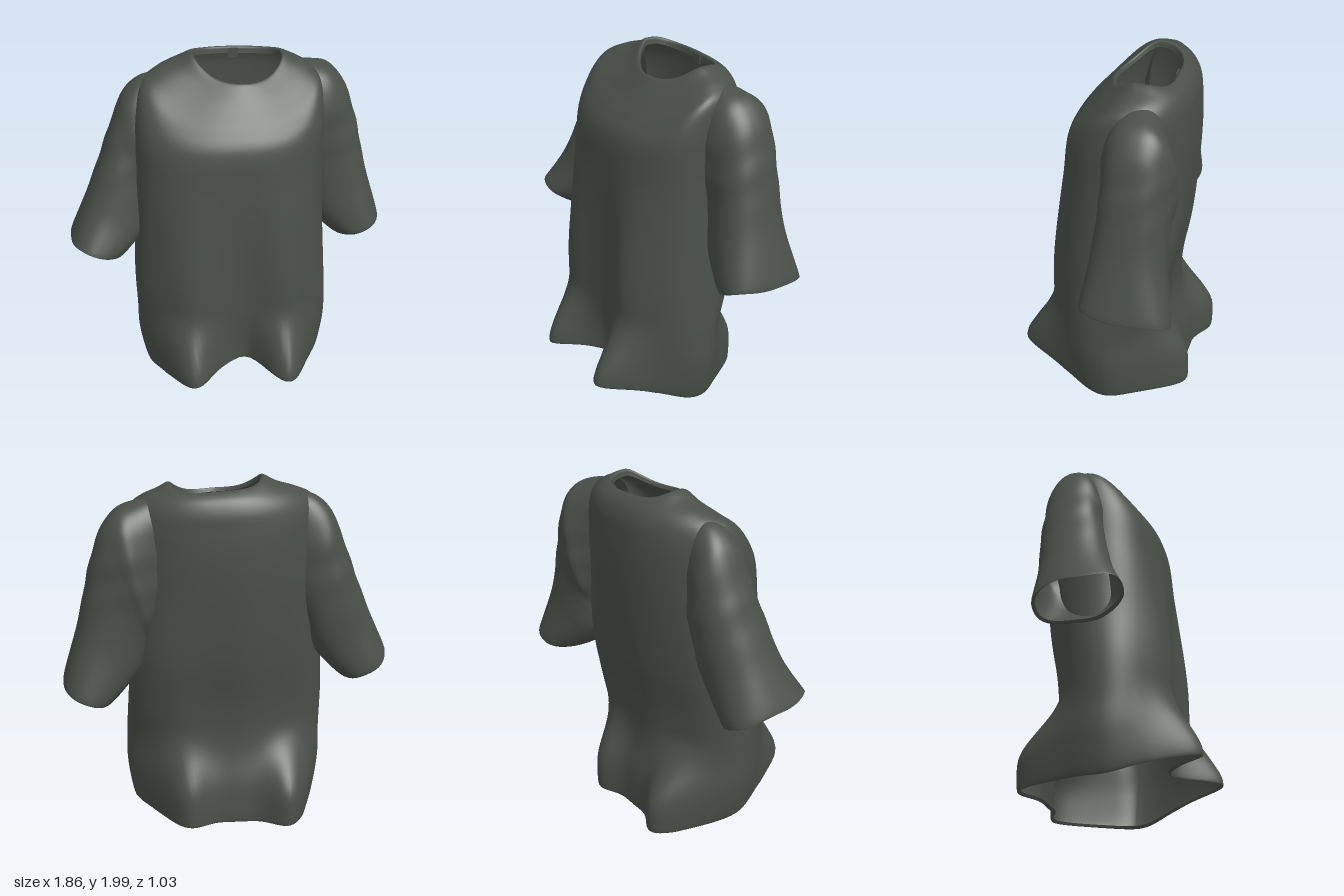
import * as THREE from 'three';

const SIDES = 128;

const fabric = new THREE.MeshStandardMaterial({ color: 0x4a5049, side: THREE.DoubleSide });
fabric.name = 'charcoal green fabric';

const { lerp, smoothstep } = THREE.MathUtils;
const bump = (v, centre, width) => Math.exp(-(((v - centre) / width) ** 2));
const power = (v, e) => Math.sign(v) * Math.abs(v) ** e;

// One rounded cross-section, given by its -x, +x, front and back points;
// the last three numbers square off the front, the back at -x and the back at +x
function ring([xl, yl, xr, yr, zf, yf, zb, yb, front = 0.85, backRight = 0.85, backLeft = 0.85]) {
  const points = [];
  for (let j = 0; j < SIDES; j++) {
    const t = (j / SIDES) * Math.PI * 2, c = Math.cos(t), s = Math.sin(t);
    const e = s > 0 ? front : c < 0 ? backRight : backLeft;
    const across = (1 + power(c, e)) / 2;
    const dip = (s > 0 ? yf : yb) - (yl + yr) / 2;
    points.push(new THREE.Vector3(
      lerp(xl, xr, across),
      lerp(yl, yr, across) + dip * (1 - c ** 4),
      lerp(zb, zf, (1 + power(s, e)) / 2)));
  }
  return points;
}

// Smooth skin running down through the rings, with a rule that drapes every point
function loft(name, rows, steps, drape) {
  const rings = rows.map(ring);
  const columns = rings[0].map((_, j) =>
    new THREE.CatmullRomCurve3(rings.map(r => r[j]), false, 'centripetal'));
  const positions = [], index = [];
  for (let i = 0; i <= steps; i++) {
    for (let j = 0; j < SIDES; j++) {
      const p = columns[j].getPoint(i / steps);
      drape(p, (j / SIDES) * Math.PI * 2);
      positions.push(p.x, p.y, p.z);
      if (i === steps) continue;
      const a = i * SIDES + j, b = i * SIDES + (j + 1) % SIDES;
      index.push(a, b, a + SIDES, b, b + SIDES, a + SIDES);
    }
  }
  const geometry = new THREE.BufferGeometry();
  geometry.setAttribute('position', new THREE.Float32BufferAttribute(positions, 3));
  geometry.setIndex(index);
  geometry.computeVertexNormals();
  const mesh = new THREE.Mesh(geometry, fabric);
  mesh.name = name;
  return mesh;
}

// Body hangs in soft folds that swell into lobes at the hem
function drapeBody(p, angle) {
  const s = Math.sin(angle), x = p.x;
  const flare = 1 - smoothstep(p.y, 0.16, 0.58);
  const hang = smoothstep(1.6 - p.y, 0, 0.9);
  const swell = 0.75 * flare + 0.25 * hang;
  const facing = Math.min(1, Math.abs(s) * 1.8);
  if (s > 0) {
    p.z += facing * swell * (0.24 * bump(x, -0.29, 0.15) + 0.26 * bump(x, 0.28, 0.15) - 0.06 * bump(x, 0.06, 0.1));
  } else {
    p.z -= facing * flare * (0.21 * bump(x, -0.35, 0.15) + 0.14 * bump(x, 0.25, 0.15) + 0.03 * bump(x, -0.05, 0.15));
    p.z += facing * hang * 0.006 * (Math.sin(x * 15) + 1);
  }
}

// Faint creases below the shoulder of a sleeve
function drapeSleeve(p, angle) {
  const crease = bump(p.y, 1.5, 0.2) * 0.003 * Math.sin(p.y * 30 + angle * 2);
  p.x += crease * Math.cos(angle);
  p.z += crease * Math.sin(angle);
}

export function createModel() {
  const shirt = new THREE.Group();
  shirt.name = 'shirt';

  // Body from the turned-in collar to the turned-in hem
  shirt.add(loft('body', [
    [-0.178, 1.965, 0.303, 1.935, -0.012, 1.87, -0.345, 1.915, 1.2, 0.72, 0.68],
    [-0.188, 2.0, 0.312, 1.97, 0.0, 1.89, -0.355, 1.95, 1.2, 0.72, 0.68],
    [-0.27, 1.965, 0.38, 1.94, 0.04, 1.85, -0.41, 1.92, 1.05, 0.8, 0.75],
    [-0.39, 1.925, 0.46, 1.9, 0.1, 1.78, -0.445, 1.85, 0.92, 0.9, 0.8],
    [-0.48, 1.87, 0.515, 1.845, 0.18, 1.69, -0.455, 1.75, 0.86, 0.95, 0.8],
    [-0.53, 1.7, 0.53, 1.7, 0.24, 1.59, -0.46, 1.6, 0.82, 1, 0.78],
    [-0.545, 1.38, 0.53, 1.38, 0.265, 1.33, -0.45, 1.35, 0.82, 1, 0.72],
    [-0.555, 1, 0.545, 1, 0.275, 1, -0.42, 1, 0.82, 1, 0.58],
    [-0.57, 0.7, 0.56, 0.7, 0.28, 0.7, -0.37, 0.7, 0.82, 1, 0.62],
    [-0.565, 0.45, 0.575, 0.45, 0.28, 0.46, -0.36, 0.44, 0.85, 1, 0.95],
    [-0.56, 0.25, 0.575, 0.25, 0.28, 0.31, -0.39, 0.22, 0.88, 1, 1.15],
    [-0.51, 0.03, 0.53, 0.03, 0.28, 0.18, -0.4, 0.015, 0.88, 1, 1.2],
    [-0.495, 0.045, 0.515, 0.045, 0.268, 0.195, -0.388, 0.03, 0.88, 1, 1.2],
  ], 96, drapeBody));

  // Sleeves turn from upright armholes inside the shoulders to slanted open cuffs
  shirt.add(loft('leftSleeve', [
    [0.36, 1.3, 0.36, 1.91, -0.1, 1.6, -0.36, 1.6],
    [0.4, 1.22, 0.5, 1.885, -0.06, 1.56, -0.42, 1.56],
    [0.43, 1.17, 0.6, 1.85, -0.05, 1.52, -0.46, 1.52],
    [0.45, 1.12, 0.685, 1.75, -0.06, 1.44, -0.45, 1.44],
    [0.46, 1.05, 0.755, 1.55, -0.06, 1.31, -0.44, 1.31],
    [0.5, 0.93, 0.835, 1.2, -0.03, 1.08, -0.45, 1.07],
    [0.66, 0.765, 0.925, 0.87, 0, 0.85, -0.5, 0.815],
    [0.672, 0.78, 0.908, 0.885, -0.015, 0.862, -0.485, 0.828],
  ], 56, drapeSleeve));
  shirt.add(loft('rightSleeve', [
    [-0.36, 1.91, -0.36, 1.3, -0.08, 1.6, -0.3, 1.6],
    [-0.48, 1.885, -0.4, 1.22, -0.04, 1.55, -0.33, 1.55],
    [-0.57, 1.81, -0.43, 1.17, -0.01, 1.49, -0.35, 1.49],
    [-0.64, 1.66, -0.45, 1.12, 0, 1.39, -0.35, 1.39],
    [-0.7, 1.5, -0.46, 1.06, 0.03, 1.28, -0.35, 1.28],
    [-0.82, 1.2, -0.5, 0.98, 0.09, 1.09, -0.33, 1.07],
    [-0.93, 0.95, -0.65, 0.83, 0.165, 0.94, -0.32, 0.86],
    [-0.915, 0.963, -0.662, 0.843, 0.15, 0.953, -0.305, 0.873],
  ], 56, drapeSleeve));

  // Small blank tag inside the back of the collar
  const tag = new THREE.Mesh(new THREE.BoxGeometry(0.06, 0.055, 0.008), fabric);
  tag.name = 'collarTag';
  tag.position.set(0.06, 1.92, -0.34);
  shirt.add(tag);

  return shirt;
}
